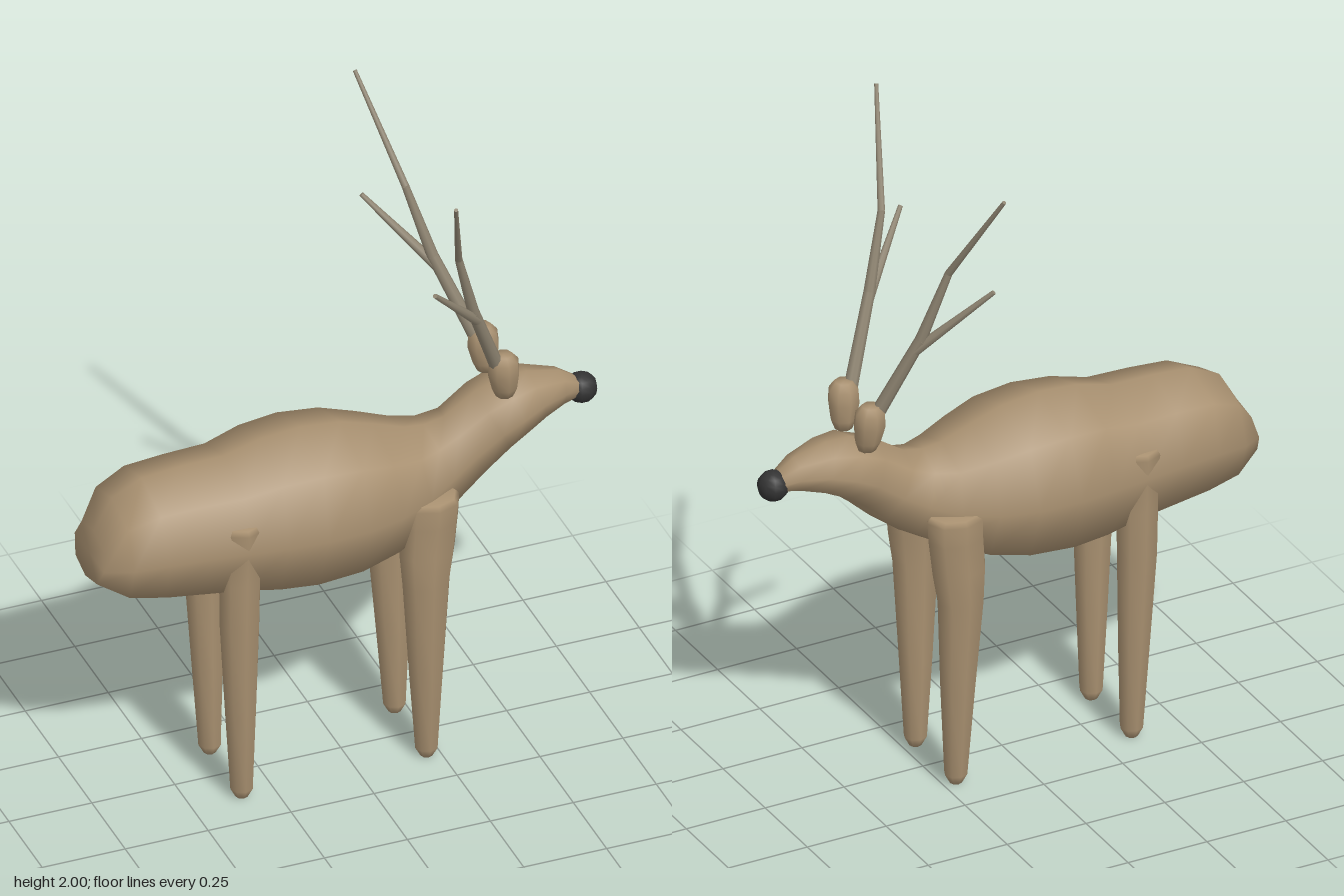
import * as THREE from 'three';

const hide = new THREE.MeshStandardMaterial({ color: 0xa89070 });
const horn = new THREE.MeshStandardMaterial({ color: 0x8f8572 });
const dark = new THREE.MeshStandardMaterial({ color: 0x333333 });
const V = (x, y, z) => new THREE.Vector3(x, y, z);

// Closed skin over rings given as { c: centre, u, v: half-axis vectors }
function loft(rings, sides, bulge = 1) {
  const pos = [], idx = [];
  for (const { c, u, v } of rings) {
    for (let k = 0; k < sides; k++) {
      const a = (k / sides) * Math.PI * 2;
      const f = 1 + (bulge - 1) * Math.abs(Math.sin(2 * a));
      const p = c.clone().addScaledVector(u, Math.cos(a) * f).addScaledVector(v, Math.sin(a) * f);
      pos.push(p.x, p.y, p.z);
    }
  }
  const n = rings.length;
  for (let i = 0; i < n - 1; i++) {
    for (let k = 0; k < sides; k++) {
      const a = i * sides + k, b = i * sides + ((k + 1) % sides);
      idx.push(a, b, a + sides, b, b + sides, a + sides);
    }
  }
  // end caps
  for (const [i, flip] of [[0, false], [n - 1, true]]) {
    const m = pos.length / 3, c = rings[i].c;
    pos.push(c.x, c.y, c.z);
    for (let k = 0; k < sides; k++) {
      const a = i * sides + k, b = i * sides + ((k + 1) % sides);
      if (flip) idx.push(m, a, b); else idx.push(m, b, a);
    }
  }
  const g = new THREE.BufferGeometry();
  g.setAttribute('position', new THREE.Float32BufferAttribute(pos, 3));
  g.setIndex(idx);
  g.computeVertexNormals();
  return g;
}

// Upright limb from rows of [y, x, z, radiusX, radiusZ]
const limb = (rows, s) => loft(rows.map(([y, x, z, rx, rz]) =>
  ({ c: V(x, y, z * s), u: V(-rx, 0, 0), v: V(0, 0, rz) })), 8);

function add(parent, name, geometry, material) {
  const m = new THREE.Mesh(geometry, material);
  m.name = name;
  parent.add(m);
  return m;
}

// Tapered rod between two points
function rod(parent, name, a, b, ra, rb) {
  const d = b.clone().sub(a);
  const m = add(parent, name, new THREE.CylinderGeometry(rb, ra, d.length(), 8), horn);
  m.position.copy(a).addScaledVector(d, 0.5);
  m.quaternion.setFromUnitVectors(V(0, 1, 0), d.normalize());
}

export function createModel() {
  const deer = new THREE.Group();
  deer.name = 'deer';

  // Body, neck and head: [topX, topY, bottomX, bottomY, halfWidth]
  const body = [
    [-0.745, 0.92, -0.77, 0.775, 0.11],
    [-0.69, 1.015, -0.685, 0.715, 0.165],
    [-0.6, 1.06, -0.58, 0.693, 0.19],
    [-0.48, 1.07, -0.46, 0.675, 0.197],
    [-0.35, 1.073, -0.35, 0.66, 0.205],
    [-0.24, 1.103, -0.25, 0.643, 0.228],
    [-0.12, 1.113, -0.14, 0.635, 0.24],
    [0, 1.1, 0, 0.645, 0.232],
    [0.1, 1.068, 0.12, 0.675, 0.203],
    [0.19, 1.035, 0.23, 0.73, 0.165],
    [0.25, 1.028, 0.33, 0.79, 0.128],
    [0.31, 1.04, 0.42, 0.86, 0.108],
    [0.4, 1.1, 0.49, 0.925, 0.115],
    [0.48, 1.13, 0.54, 0.965, 0.117],
    [0.56, 1.132, 0.6, 0.993, 0.09],
    [0.66, 1.11, 0.66, 1.01, 0.055],
    [0.72, 1.07, 0.72, 1.02, 0.03],
  ];
  add(deer, 'body', loft(body.map(([tx, ty, bx, by, w]) => ({
    c: V((tx + bx) / 2, (ty + by) / 2, 0),
    u: V((tx - bx) / 2, (ty - by) / 2, 0),
    v: V(0, 0, w),
  })), 8, 1.05), hide);

  // Nose
  add(deer, 'nose', new THREE.SphereGeometry(0.046, 10, 8), dark).position.set(0.725, 1.037, 0);

  const frontLeg = [
    [0.005, 0.21, 0.12, 0.018, 0.018],
    [0.035, 0.21, 0.12, 0.034, 0.034],
    [0.3, 0.207, 0.125, 0.052, 0.047],
    [0.6, 0.203, 0.135, 0.071, 0.061],
    [0.7, 0.207, 0.132, 0.083, 0.065],
    [0.8, 0.215, 0.13, 0.086, 0.069],
    [0.865, 0.218, 0.13, 0.087, 0.075],
    [0.88, 0.218, 0.13, 0.075, 0.065],
  ];
  const hindLeg = [
    [0.005, -0.347, 0.12, 0.018, 0.018],
    [0.035, -0.347, 0.12, 0.034, 0.034],
    [0.3, -0.352, 0.125, 0.047, 0.045],
    [0.6, -0.358, 0.132, 0.06, 0.056],
    [0.75, -0.358, 0.133, 0.062, 0.06],
    [0.83, -0.357, 0.134, 0.062, 0.062],
    [0.925, -0.357, 0.14, 0.065, 0.066],
    [0.94, -0.357, 0.14, 0.055, 0.058],
  ];
  const ear = [
    [1.12, 0.465, 0.07, 0.026, 0.026],
    [1.15, 0.464, 0.073, 0.038, 0.038],
    [1.2, 0.46, 0.077, 0.047, 0.045],
    [1.24, 0.459, 0.079, 0.044, 0.042],
    [1.262, 0.458, 0.08, 0.026, 0.026],
  ];

  for (const [s, side] of [[1, 'near'], [-1, 'far']]) {
    add(deer, side + 'FrontLeg', limb(frontLeg, s), hide);
    add(deer, side + 'HindLeg', limb(hindLeg, s), hide);
    add(deer, side + 'Ear', limb(ear, s), hide);

    // Antler: a bent beam with one tine
    const antler = new THREE.Group();
    antler.name = side + 'Antler';
    deer.add(antler);
    const beam = [[0.45, 1.2, 0.07, 0.021], [0.338, 1.48, 0.153, 0.017],
      [0.275, 1.7, 0.2, 0.011], [0.195, 1.997, 0.38, 0.006]];
    for (let i = 0; i < 3; i++) {
      const [a, b] = [beam[i], beam[i + 1]];
      rod(antler, 'beam', V(a[0], a[1], a[2] * s), V(b[0], b[1], b[2] * s), a[3], b[3]);
    }
    rod(antler, 'tine', V(0.355, 1.44, 0.142 * s), V(0.173, 1.65, 0.277 * s), 0.016, 0.007);
  }
  return deer;
}
